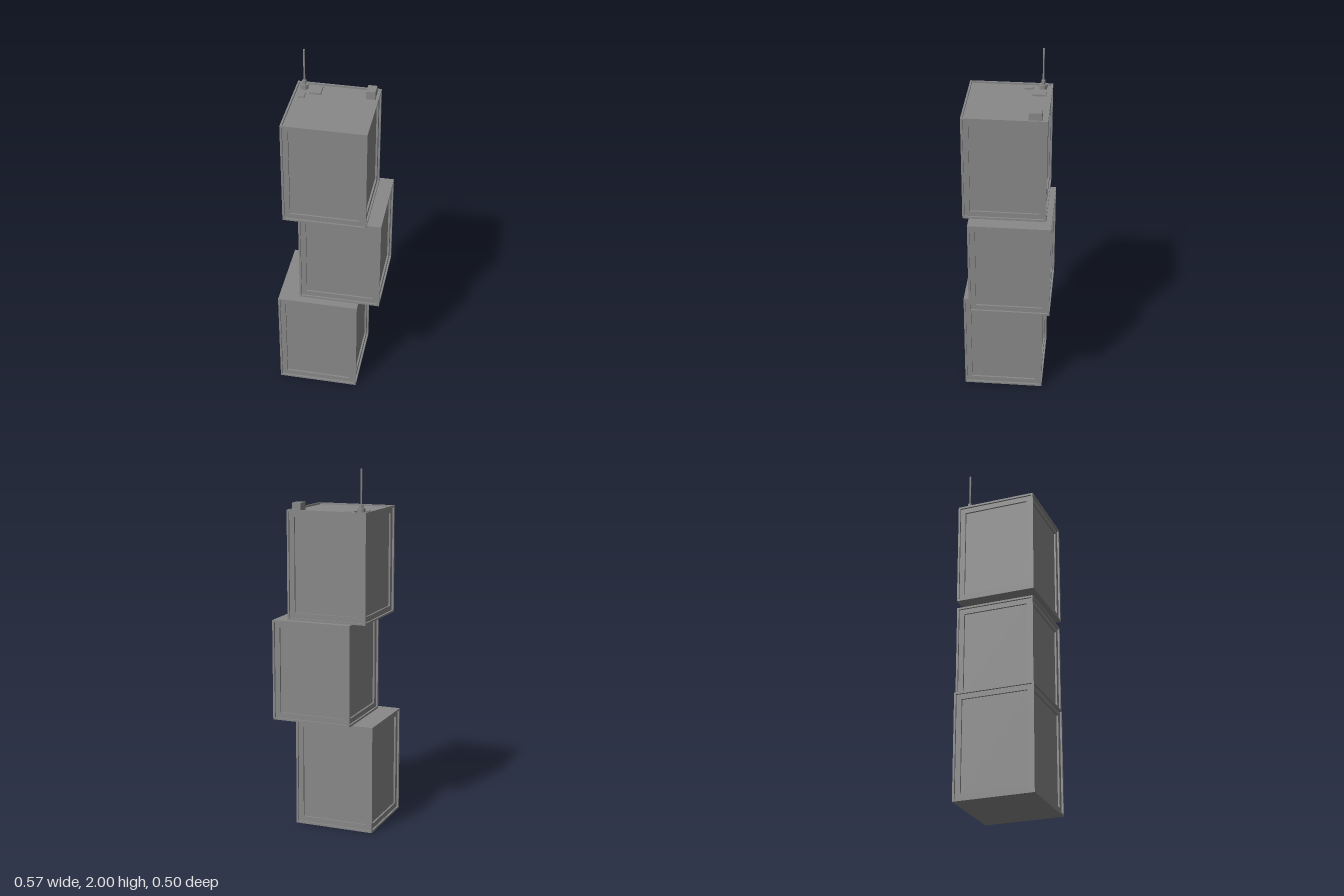
import * as THREE from 'three';

const mat = new THREE.MeshStandardMaterial({ color: 0x888888, flatShading: true });
const STEP = 0.01; // depth of each step from rim to frame to panel

function add(parent, name, geometry, x, y, z) {
  const m = new THREE.Mesh(geometry, mat);
  m.name = name;
  m.position.set(x, y, z);
  parent.add(m);
  return m;
}

function rect(Type, w, h) {
  return new Type([[-w, -h], [w, -h], [w, h], [-w, h]].map(([x, y]) => new THREE.Vector2(x / 2, y / 2)));
}

// Rectangular ring: outer and inner edges are inset from a w x h face
function ring(w, h, outer, inner) {
  const s = rect(THREE.Shape, w - 2 * outer, h - 2 * outer);
  s.holes.push(rect(THREE.Path, w - 2 * inner, h - 2 * inner));
  return new THREE.ExtrudeGeometry(s, { depth: STEP, bevelEnabled: false });
}

// Box storey with a thin rim, a stepped frame and a recessed panel on each side
function storey(name, [x0, x1], [y0, y1], [z0, z1], slabs) {
  const g = new THREE.Group();
  g.name = name;
  const w = x1 - x0, h = y1 - y0, d = z1 - z0;
  g.position.set((x0 + x1) / 2, (y0 + y1) / 2, (z0 + z1) / 2);
  add(g, 'core', new THREE.BoxGeometry(w - 4 * STEP, h - 2 * STEP, d - 4 * STEP), 0, 0, 0);
  // Slabs fill the rim below (-1) and above (1)
  for (const s of slabs) {
    add(g, 'slab', new THREE.BoxGeometry(w - 2 * STEP, STEP, d - 2 * STEP), 0, s * (h - STEP) / 2, 0);
  }
  for (let i = 0; i < 4; i++) {
    const side = new THREE.Group();
    side.name = 'wall';
    side.rotation.y = i * Math.PI / 2;
    const [sw, sd] = i % 2 ? [d, w] : [w, d];
    add(side, 'wallRim', ring(sw, h, 0, 0.011), 0, 0, sd / 2 - STEP);
    add(side, 'wallFrame', ring(sw, h, STEP, 0.04), 0, 0, sd / 2 - 2 * STEP);
    g.add(side);
  }
  return g;
}

export function createModel() {
  const model = new THREE.Group();
  model.name = 'stackedTower';

  // Three shifted storeys; the top one is left open as a parapet
  model.add(
    storey('lowerStorey', [-0.287, 0.168], [0, 0.605], [-0.205, 0.247], [-1, 1]),
    storey('middleStorey', [-0.17, 0.287], [0.606, 1.17], [-0.249, 0.203], [-1, 1]),
    storey('upperStorey', [-0.248, 0.209], [1.171, 1.775], [-0.217, 0.237], [-1])
  );

  // Rooftop equipment
  const roof = 1.765;
  const unit = (name, x, z, w, h, d) =>
    add(model, name, new THREE.BoxGeometry(w, h, d), x, roof + h / 2, z);
  unit('roofHatch', -0.135, -0.15, 0.063, 0.01, 0.077);
  unit('roofVent', -0.2, -0.09, 0.034, 0.008, 0.048);
  unit('chimney', 0.165, -0.151, 0.049, 0.046, 0.069);

  // Antenna: octagonal base, collar and mast
  const antenna = new THREE.Group();
  antenna.name = 'antenna';
  antenna.position.set(-0.202, roof, -0.166);
  const drum = (name, r, y0, y1) => {
    const m = add(antenna, name, new THREE.CylinderGeometry(r, r, y1 - y0, 8), 0, (y0 + y1) / 2, 0);
    m.rotation.y = Math.PI / 8;
  };
  drum('antennaBase', 0.022, 0, 0.027);
  drum('antennaCollar', 0.012, 0.027, 0.049);
  drum('antennaMast', 0.005, 0.049, 2 - roof);
  model.add(antenna);
  return model;
}
